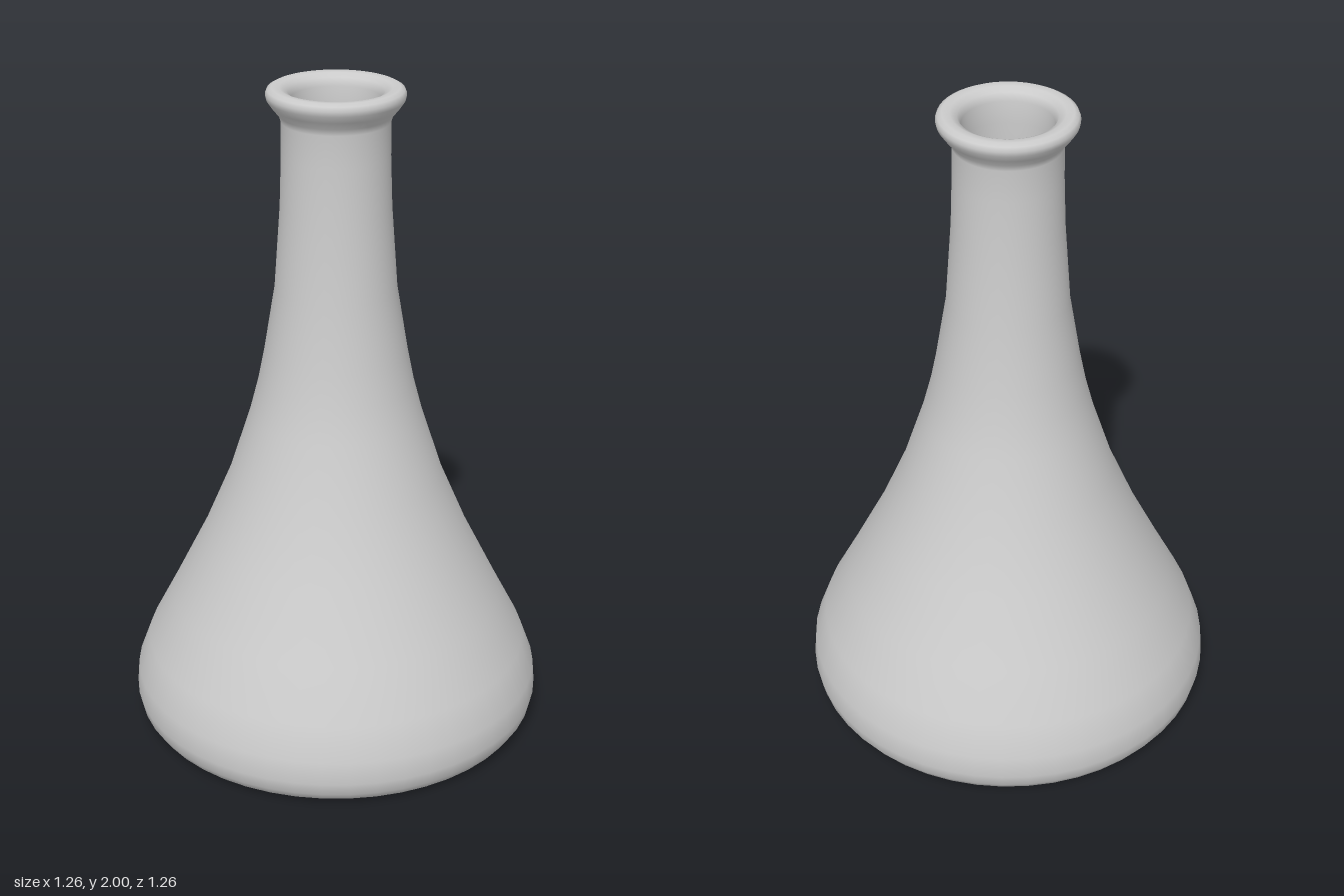
import * as THREE from 'three';

const SIDES = 48;

// Revolve a profile of [radius, height] pairs, listed from bottom to top
function revolve(name, profile, material) {
  const points = profile.map(([r, y]) => new THREE.Vector2(r, y));
  const mesh = new THREE.Mesh(new THREE.LatheGeometry(points, SIDES), material);
  mesh.name = name;
  return mesh;
}

export function createModel() {
  const group = new THREE.Group();
  group.name = 'conicalFlask';
  const glass = new THREE.MeshStandardMaterial({ color: 0xcccccc });
  const red = new THREE.MeshStandardMaterial({ color: 0xb02a4a });

  // Outer wall: rounded foot, sloping body, slim neck
  const wall = [
    [0.55, 0], [0.58, 0.003], [0.605, 0.015], [0.622, 0.04], [0.631, 0.08],
    [0.625, 0.15], [0.588, 0.25], [0.51, 0.4], [0.41, 0.6], [0.325, 0.8],
    [0.26, 1.0], [0.234, 1.1], [0.214, 1.2], [0.181, 1.4], [0.163, 1.65],
    [0.158, 1.8], [0.157, 1.9],
  ];

  // Flared lip, rolled over into the mouth
  const lip = [
    [0.164, 1.92], [0.183, 1.943], [0.198, 1.965], [0.201, 1.98],
    [0.196, 1.993], [0.183, 2.0], [0.16, 1.998], [0.14, 1.988], [0.13, 1.965],
  ];

  // Inner wall runs back down inside the outer one to a closed floor
  const inner = wall.slice(5).reverse().map(([r, y]) => [r - 0.03, y]);
  inner.push([0.59, 0.08], [0.55, 0.03], [0, 0.03]);

  group.add(revolve('flaskBody', [[0, 0], [0.4, 0], ...wall, ...lip, ...inner], glass));

  // Liquid fills the body just under the glass skin, up to the lower neck
  const fill = wall.slice(0, 12).map(([r, y]) => [r - 0.008, Math.max(y, 0.008)]);
  fill[fill.length - 1] = [0.24, 1.06];
  group.add(revolve('liquid', [[0, 0.008], ...fill, [0.22, 1.068], [0, 1.07]], red));

  return group;
}
